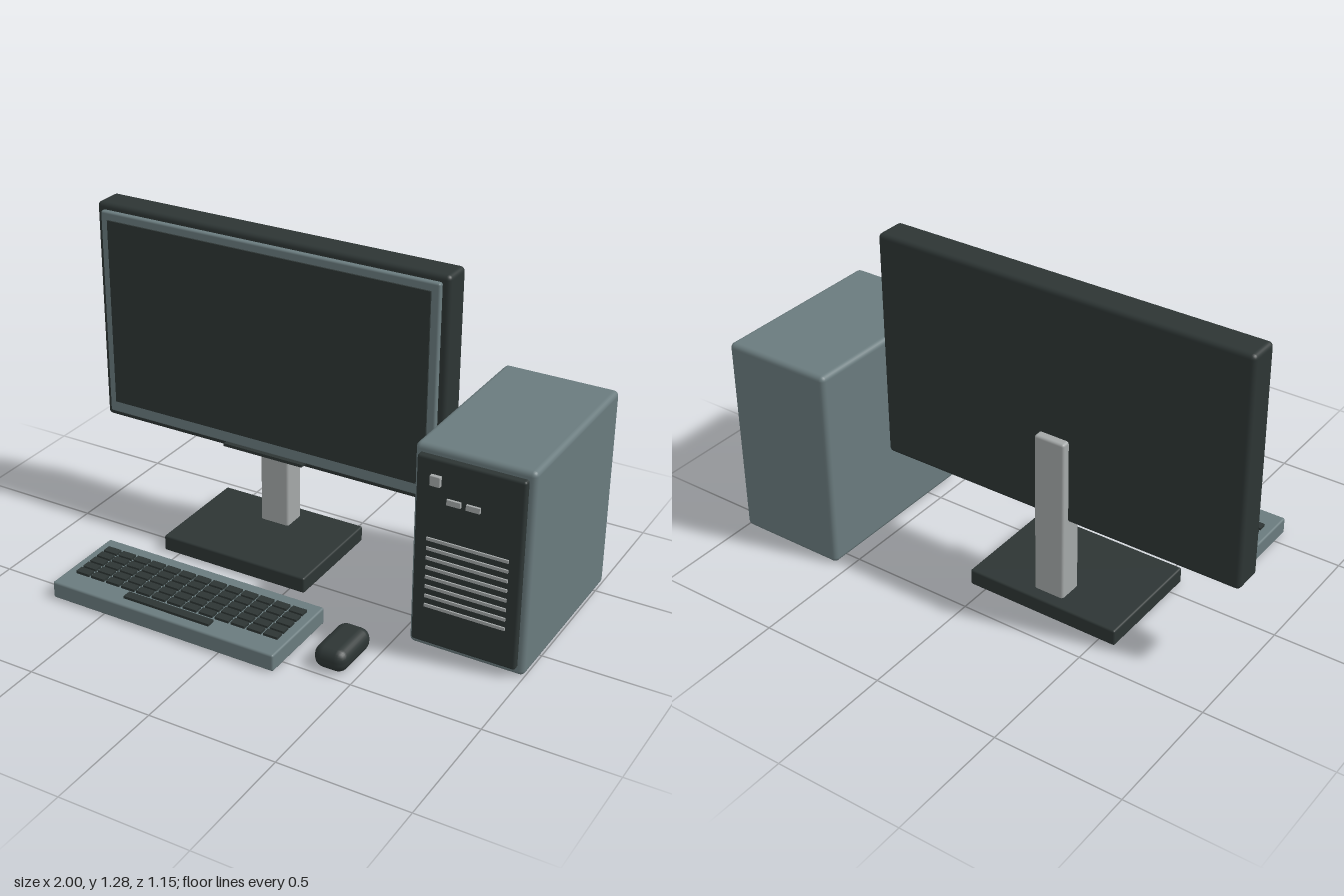
import * as THREE from 'three';
import { RoundedBoxGeometry } from 'three/addons/geometries/RoundedBoxGeometry.js';

const mat = (name, color) => {
  const m = new THREE.MeshStandardMaterial({ color });
  m.name = name;
  return m;
};

export function createModel() {
  const casing = mat('grey casing', 0x6a7b7e);
  const dark = mat('charcoal plastic', 0x2d3534);
  const metal = mat('light metal', 0xa4a8a8);

  const group = (name, parent) => {
    const g = new THREE.Group();
    g.name = name;
    if (parent) parent.add(g);
    return g;
  };

  // Box from its limits on each axis; r rounds the edges
  const box = (parent, name, material, [x0, x1], [y0, y1], [z0, z1], r = 0) => {
    const size = [x1 - x0, y1 - y0, z1 - z0];
    const geo = r ? new RoundedBoxGeometry(...size, 3, r) : new THREE.BoxGeometry(...size);
    const mesh = new THREE.Mesh(geo, material);
    mesh.name = name;
    mesh.position.set((x0 + x1) / 2, (y0 + y1) / 2, (z0 + z1) / 2);
    parent.add(mesh);
  };

  const model = group('desktopComputer');

  // Monitor with bezel, screen and stand
  const monitor = group('monitor', model);
  box(monitor, 'monitorShell', dark, [-1, 0.5], [0.38, 1.283], [-0.298, -0.175], 0.018);
  box(monitor, 'bezel', casing, [-0.97, 0.47], [0.41, 1.257], [-0.19, -0.155], 0.008);
  box(monitor, 'screen', dark, [-0.937, 0.438], [0.46, 1.225], [-0.165, -0.148]);
  box(monitor, 'chinStrip', dark, [-0.425, -0.075], [0.398, 0.41], [-0.18, -0.142]);
  box(monitor, 'standNeck', metal, [-0.312, -0.188], [0.05, 0.72], [-0.33, -0.23], 0.01);
  box(monitor, 'standBase', dark, [-0.567, 0.065], [0, 0.065], [-0.38, 0.077], 0.008);

  // Keyboard: five rows of thirteen keys and a space bar
  const keyboard = group('keyboard', model);
  box(keyboard, 'keyboardBody', casing, [-0.73, 0.23], [0, 0.068], [0.21, 0.573], 0.008);
  for (let row = 0; row < 5; row++) {
    for (let col = 0; col < 13; col++) {
      const x = -0.662 + col * 0.0687, z = 0.287 + row * 0.0438;
      box(keyboard, 'key', dark, [x - 0.029, x + 0.029], [0.06, 0.078], [z - 0.017, z + 0.017]);
    }
  }
  box(keyboard, 'spaceBar', dark, [-0.435, -0.065], [0.06, 0.078], [0.496, 0.532]);

  // Mouse
  box(model, 'mouse', dark, [0.33, 0.46], [0, 0.09], [0.26, 0.48], 0.04);

  // Tower with front panel, buttons and vent bars
  const tower = group('tower', model);
  box(tower, 'towerCase', casing, [0.55, 1], [0.002, 0.81], [-0.575, 0.16], 0.02);
  box(tower, 'frontPanel', dark, [0.57, 0.975], [0.035, 0.78], [0.15, 0.184], 0.01);
  box(tower, 'powerButton', metal, [0.627, 0.667], [0.68, 0.72], [0.18, 0.199], 0.003);
  for (const x of [0.718, 0.791]) {
    box(tower, 'frontPort', metal, [x - 0.026, x + 0.026], [0.62, 0.641], [0.18, 0.194]);
  }
  for (let i = 0; i < 8; i++) {
    const y = 0.195 + i * 0.0386;
    box(tower, 'ventBar', metal, [0.62, 0.93], [y - 0.006, y + 0.006], [0.18, 0.19]);
  }

  return model;
}
